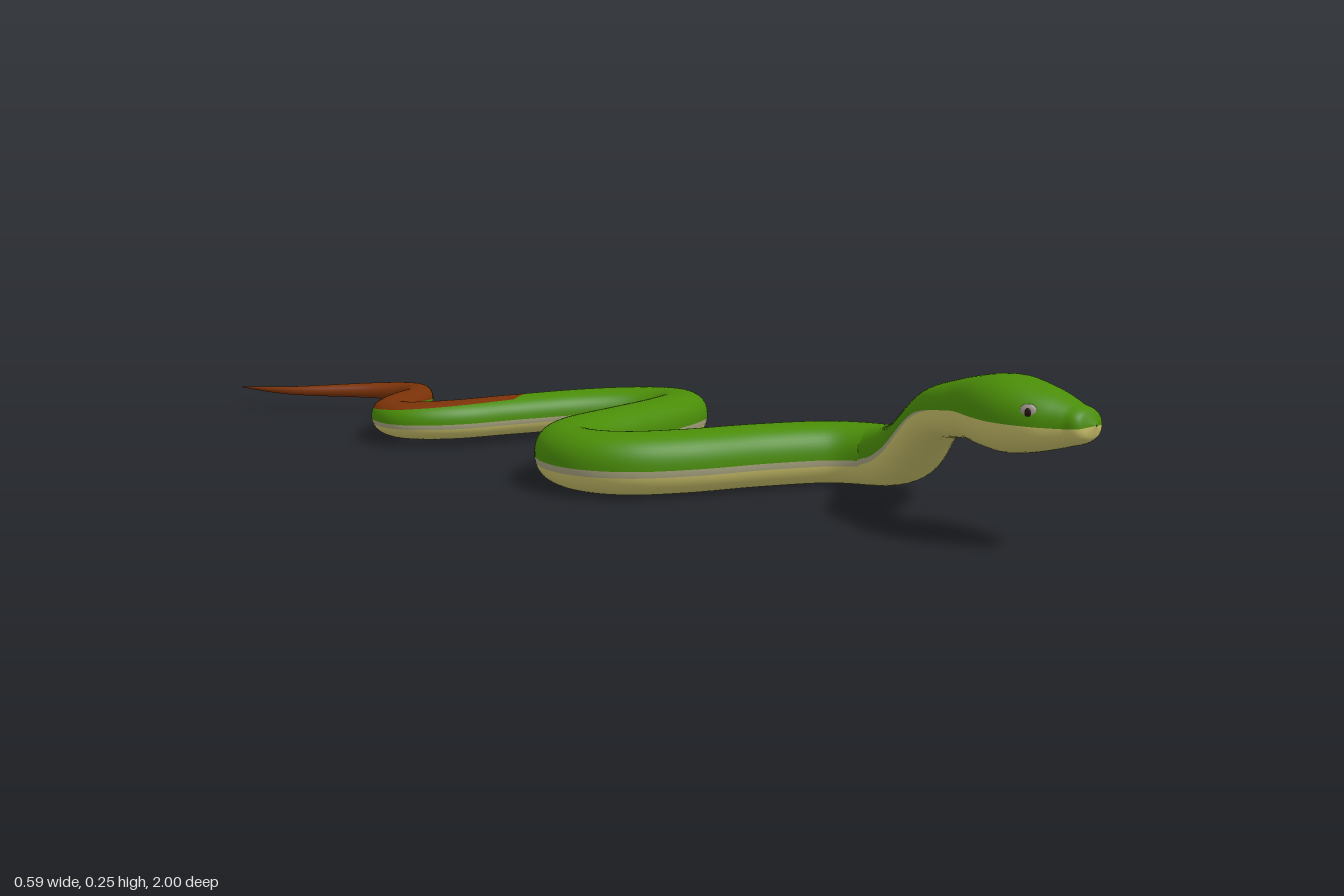
import * as THREE from 'three';

const mat = (name, color) => Object.assign(new THREE.MeshStandardMaterial({ color }), { name });
const green = mat('leaf green', 0x4a8c08);
const cream = mat('belly cream', 0xc6bd68);
const grey = mat('flank grey', 0xa39f7c);
const brown = mat('tail brown', 0x7a3208);
const iris = mat('eye grey', 0x9a948a);
const black = mat('pupil dark', 0x24120c);

// Winding line of the spine on the ground, nose to tail: x, z
const path = new THREE.SplineCurve([
  [-.05, 1], [-.05, .985], [-.051, .95], [-.054, .87], [-.047, .78], [-.018, .7], [.085, .57],
  [.13, .5], [.146, .44], [.108, .365], [0, .305], [-.12, .26], [-.205, .21], [-.238, .145],
  [-.215, .07], [-.135, .01], [0, -.02], [.1, -.04], [.2, -.075], [.243, -.135], [.215, -.21],
  [.13, -.275], [0, -.325], [-.1, -.355], [-.16, -.395], [-.178, -.44], [-.15, -.5], [-.08, -.56],
  [0, -.61], [.052, -.69], [.02, -.77], [-.11, -.89], [-.155, -1],
].map(([x, z]) => new THREE.Vector2(x, z)));

// Girth along z: z, centre height, half width, half height
const girth = [
  [1, .196, .001, .001], [.99, .195, .029, .021], [.965, .194, .038, .032], [.92, .196, .059, .047],
  [.87, .198, .068, .057], [.83, .199, .063, .055], [.78, .196, .045, .046], [.7, .174, .043, .041],
  [.57, .093, .051, .047], [.5, .064, .054, .05], [.44, .055, .056, .052], [.145, .055, .058, .051],
  [-.135, .052, .052, .042], [-.44, .047, .041, .033], [-.7, .044, .025, .02], [-1, .045, .001, .001],
];

// Smooth lookup of one girth column
function girthAt(z, col) {
  let i = 0;
  while (i < girth.length - 2 && z < girth[i + 1][0]) i++;
  const slope = k => {
    const a = girth[Math.max(0, k - 1)], b = girth[Math.min(girth.length - 1, k + 1)];
    return (b[col] - a[col]) / (b[0] - a[0]);
  };
  const a = girth[i], b = girth[i + 1], d = b[0] - a[0];
  const t = THREE.MathUtils.clamp((z - a[0]) / d, 0, 1), r = 1 - t;
  return (1 + 2 * t) * r * r * a[col] + t * r * r * d * slope(i)
    + t * t * (3 - 2 * t) * b[col] - t * t * r * d * slope(i + 1);
}

function spine(u) {
  const p = path.getPoint(u);
  return new THREE.Vector3(p.x, girthAt(p.y, 1), p.y);
}

const UP = new THREE.Vector3(0, 1, 0);
const soften = v => Math.sign(v) * Math.pow(Math.abs(v), 0.86);

// Skin point at path parameter u and angle a (0 is the spine, PI the belly)
function skin(u, a) {
  const centre = spine(u);
  const along = spine(Math.min(1, u + 1e-4)).sub(spine(Math.max(0, u - 1e-4))).normalize();
  const side = new THREE.Vector3().crossVectors(UP, along).normalize();
  const up = new THREE.Vector3().crossVectors(along, side);
  const w = girthAt(centre.z, 2), h = girthAt(centre.z, 3);
  return centre.addScaledVector(side, w * soften(Math.sin(a)))
    .addScaledVector(up, h * soften(Math.cos(a)));
}

function skinNormal(u, a) {
  const e = 1e-3;
  const du = skin(Math.min(1, u + e), a).sub(skin(Math.max(0, u - e), a));
  const da = skin(u, a + 0.02).sub(skin(u, a - 0.02));
  return du.cross(da).normalize();
}

// Linear lookup along z, keys in falling z
function ramp(keys, z) {
  if (z >= keys[0][0]) return keys[0][1];
  for (let i = 1; i < keys.length; i++) {
    const [z0, v0] = keys[i - 1], [z1, v1] = keys[i];
    if (z >= z1) return v0 + (v1 - v0) * (z0 - z) / (z0 - z1);
  }
  return keys[keys.length - 1][1];
}

// Angles where one skin colour meets the next
const brownEdge = z => ramp([[-.318, 0], [-.325, .5], [-.4, .75], [-.47, 1.05], [-.56, 1.25],
  [-.63, 1.6], [-.68, 2.3], [-.72, Math.PI]], z);
const greenEdge = z => Math.max(brownEdge(z), ramp([[.85, 1.62], [.7, 1.52], [.4, 1.62]], z));
const greyEdge = z => Math.max(greenEdge(z), ramp([[.8, 1.5], [.65, 1.62], [.4, 1.8], [-.5, 1.85]], z));

// A strip of skin between two angle rules
function strip(name, material, from, to, cols) {
  const rows = 260, pos = [], nor = [], index = [], widths = [];
  for (let i = 0; i <= rows; i++) {
    const u = i / rows, z = path.getPoint(u).y;
    const a0 = from(z), a1 = to(z);
    widths.push(a1 - a0);
    for (let j = 0; j <= cols; j++) {
      const a = a0 + (a1 - a0) * j / cols;
      pos.push(...skin(u, a).toArray());
      nor.push(...skinNormal(u, a).toArray());
    }
  }
  for (let i = 0; i < rows; i++) {
    if (widths[i] < 1e-4 && widths[i + 1] < 1e-4) continue;
    for (let j = 0; j < cols; j++) {
      const p = i * (cols + 1) + j, q = p + cols + 1;
      index.push(p, q, p + 1, q, q + 1, p + 1);
    }
  }
  const geo = new THREE.BufferGeometry();
  geo.setAttribute('position', new THREE.Float32BufferAttribute(pos, 3));
  geo.setAttribute('normal', new THREE.Float32BufferAttribute(nor, 3));
  geo.setIndex(index);
  const mesh = new THREE.Mesh(geo, material);
  mesh.name = name;
  return mesh;
}

function ball(name, material, x, y, z, sx, sy, sz) {
  const mesh = new THREE.Mesh(new THREE.SphereGeometry(1, 16, 12), material);
  mesh.name = name;
  mesh.position.set(x, y, z);
  mesh.scale.set(sx, sy, sz);
  return mesh;
}

export function createModel() {
  const snake = new THREE.Group();
  snake.name = 'snake';

  // Skin: tail marking, back, flanks and belly
  snake.add(strip('tailMarking', brown, z => -brownEdge(z), brownEdge, 24));
  snake.add(strip('rightBack', green, brownEdge, greenEdge, 12));
  snake.add(strip('leftBack', green, z => -greenEdge(z), z => -brownEdge(z), 12));
  snake.add(strip('rightFlank', grey, greenEdge, greyEdge, 2));
  snake.add(strip('leftFlank', grey, z => -greyEdge(z), z => -greenEdge(z), 2));
  snake.add(strip('belly', cream, greyEdge, z => 2 * Math.PI - greyEdge(z), 20));

  // Eyes, set nearly flush and angled along the tapering head
  for (const [side, s] of [['left', 1], ['right', -1]]) {
    const eye = new THREE.Group();
    eye.name = side + 'Eye';
    eye.position.set(-.052 + s * .053, .213, .922);
    eye.rotation.y = -s * .4;
    eye.add(ball('iris', iris, 0, 0, 0, .006, .012, .014));
    eye.add(ball('pupil', black, s * .004, 0, 0, .003, .007, .006));
    snake.add(eye);
  }
  return snake;
}
